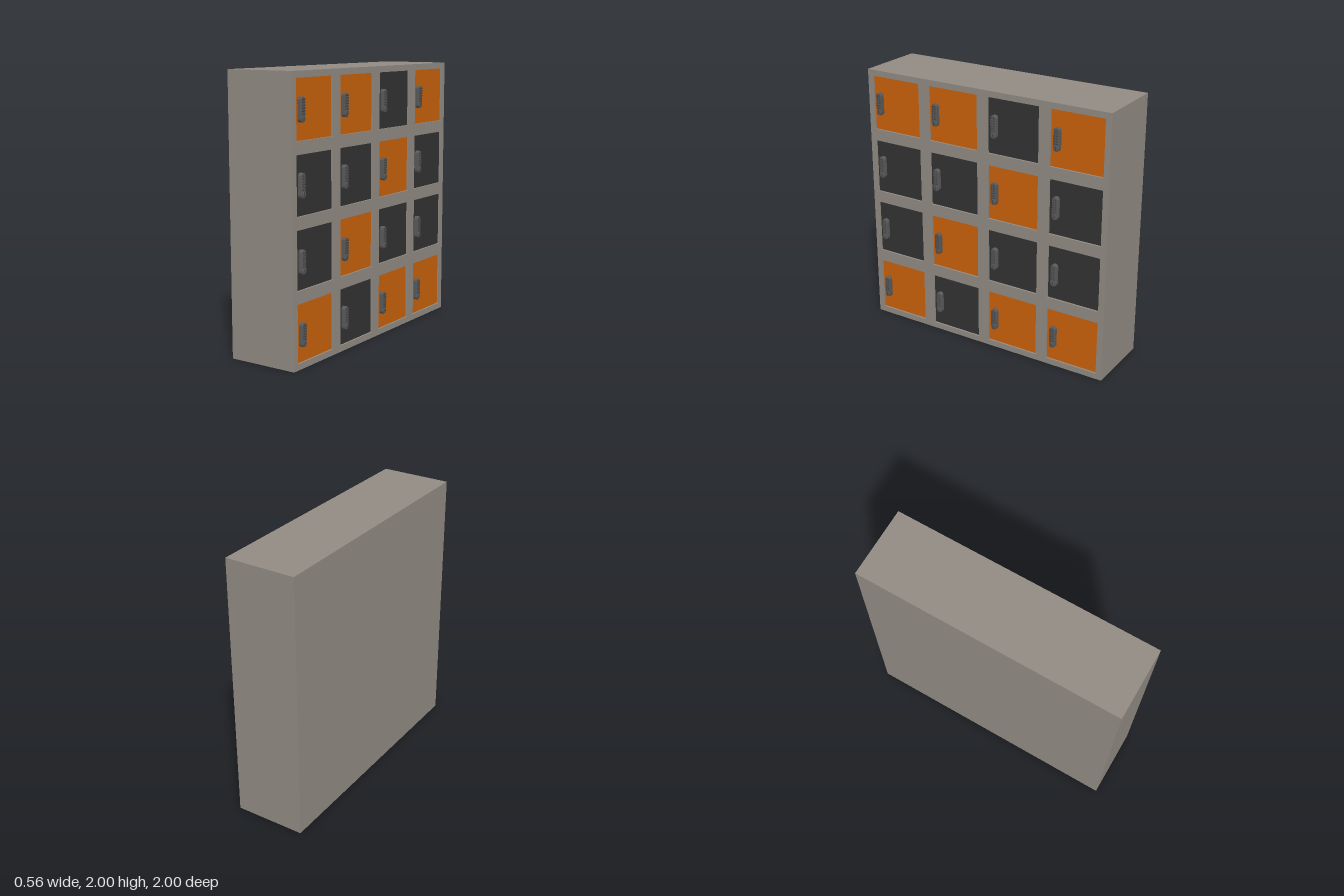
import * as THREE from 'three';

const mat = (color) => new THREE.MeshStandardMaterial({ color });
const body = mat(0x918b83), orange = mat(0xc9620c), black = mat(0x323232);
const lockGrey = mat(0x5a5a5a), buttonGrey = mat(0x484848);

const BACK = -0.28, FRONT = 0.255, DOOR_FACE = 0.241, DOOR = 0.41;
const centres = [-0.75, -0.25, 0.25, 0.75];
const lockHeights = [0.238, 0.737, 1.25, 1.749];
// bottom row first, columns from +z to -z; O = orange, B = black
const pattern = ['OBOO', 'BOBB', 'BBOB', 'OOBO'];

function add(parent, name, geometry, material, x = 0, y = 0, z = 0) {
  const mesh = new THREE.Mesh(geometry, material);
  mesh.name = name;
  mesh.position.set(x, y, z);
  parent.add(mesh);
  return mesh;
}

function rect(path, x, y, w, h) {
  return path.moveTo(x - w / 2, y - h / 2).lineTo(x + w / 2, y - h / 2)
    .lineTo(x + w / 2, y + h / 2).lineTo(x - w / 2, y + h / 2).closePath();
}

// upright rounded plate with a small bevel, facing +x, its base at x = 0
function pillPlate(width, height, depth, bevel) {
  const r = width / 2 - bevel, s = height / 2 - width / 2;
  const shape = new THREE.Shape();
  shape.absarc(0, s, r, 0, Math.PI);
  shape.absarc(0, -s, r, Math.PI, Math.PI * 2);
  shape.closePath();
  return new THREE.ExtrudeGeometry(shape, {
    depth: depth - bevel, bevelThickness: bevel, bevelSize: bevel, bevelSegments: 2, curveSegments: 10,
  }).rotateY(Math.PI / 2);
}

// keypad lock: plate, two columns of buttons and a turning knob
const plateGeo = pillPlate(0.048, 0.17, 0.03, 0.004);
const buttonGeo = new THREE.CylinderGeometry(0.006, 0.006, 0.012, 10).rotateZ(-Math.PI / 2);
const knobGeo = new THREE.CylinderGeometry(0.017, 0.019, 0.012, 20).rotateZ(-Math.PI / 2);
const gripGeo = new THREE.BoxGeometry(0.006, 0.03, 0.007);

function createLock() {
  const lock = new THREE.Group();
  lock.name = 'keypadLock';
  add(lock, 'lockPlate', plateGeo, lockGrey);
  for (let row = 0; row < 6; row++) {
    for (const side of [-1, 1]) {
      add(lock, 'lockButton', buttonGeo, buttonGrey, 0.031, 0.066 - row * 0.0185, side * 0.0095);
    }
  }
  add(lock, 'lockKnob', knobGeo, lockGrey, 0.029, -0.058, 0);
  add(lock, 'knobGrip', gripGeo, buttonGrey, 0.035, -0.058, 0);
  return lock;
}

export function createModel() {
  const model = new THREE.Group();
  model.name = 'lockerCabinet';

  // solid carcass behind the door frame
  const frameBack = 0.215;
  add(model, 'carcass', new THREE.BoxGeometry(frameBack - BACK, 2, 2), body, (frameBack + BACK) / 2, 1, 0);

  // front frame with a square opening for each door
  const frame = rect(new THREE.Shape(), 0, 1, 2, 2);
  for (const u of centres) {
    for (const v of centres) frame.holes.push(rect(new THREE.Path(), u, v + 1, DOOR, DOOR));
  }
  const frameGeo = new THREE.ExtrudeGeometry(frame, { depth: FRONT - frameBack, bevelEnabled: false });
  add(model, 'doorFrame', frameGeo.rotateY(Math.PI / 2), body, frameBack);

  // recessed doors, each with a lock near its +z edge
  const doorGeo = new THREE.BoxGeometry(DOOR_FACE - frameBack, DOOR, DOOR);
  pattern.forEach((line, row) => {
    [...line].forEach((code, col) => {
      const z = -centres[col];
      const locker = new THREE.Group();
      locker.name = 'locker';
      add(locker, 'door', doorGeo, code === 'O' ? orange : black,
        (DOOR_FACE + frameBack) / 2, centres[row] + 1, z);
      const lock = createLock();
      lock.position.set(DOOR_FACE, lockHeights[row], z + 0.15);
      locker.add(lock);
      model.add(locker);
    });
  });
  return model;
}
